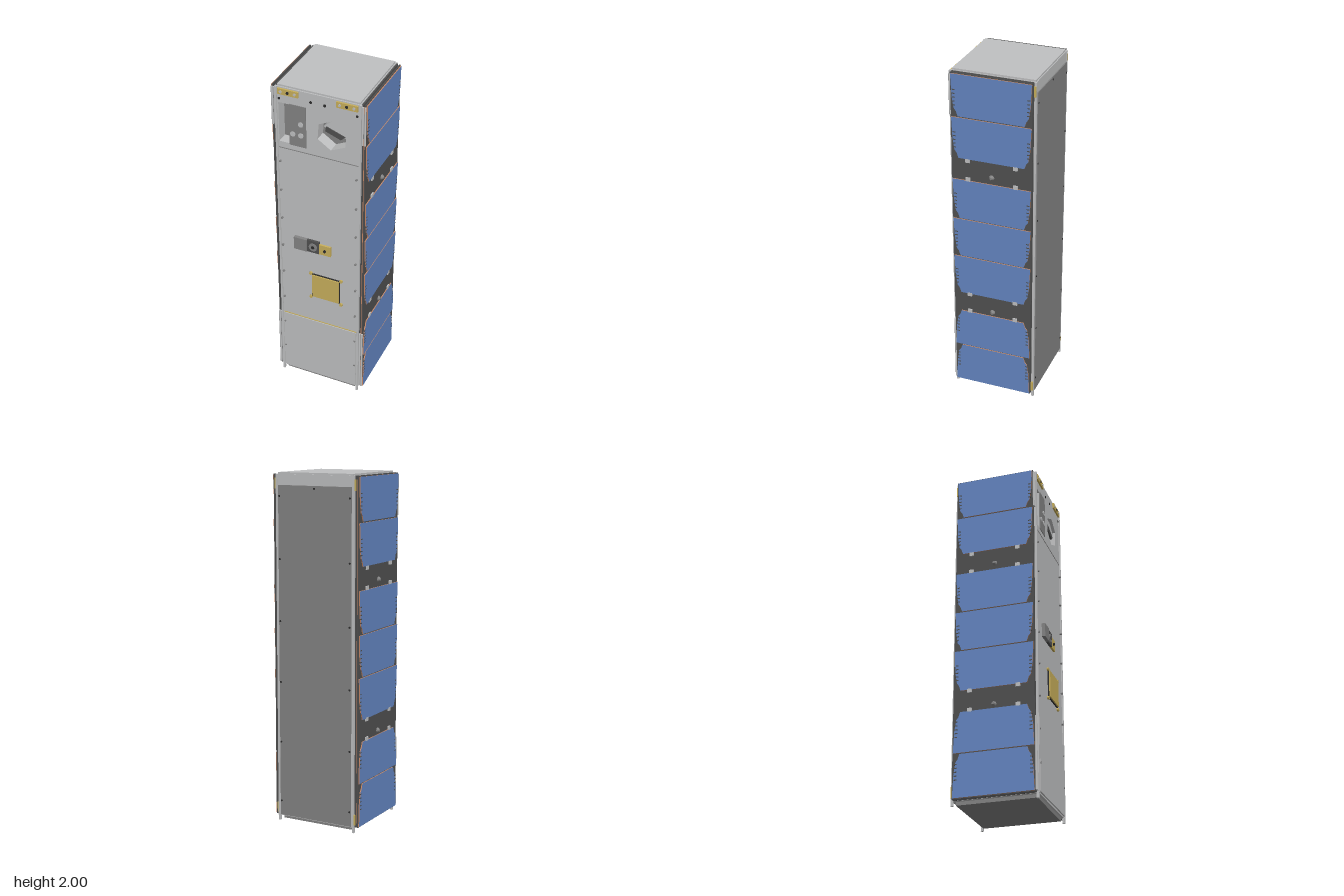
import * as THREE from 'three';

const mat = (name, color) => Object.assign(new THREE.MeshStandardMaterial({ color }), { name });
const light = mat('light aluminium', 0xc0c1c2);
const grey = mat('mid grey', 0x848484);
const dark = mat('dark board', 0x505050);
const black = mat('black', 0x2c2c2c);
const blue = mat('solar blue', 0x6486c2);
const gold = mat('gold', 0xc9b05c);
const copper = mat('copper', 0xc98a68);

function add(parent, name, geometry, material, x = 0, y = 0, z = 0) {
  const mesh = new THREE.Mesh(geometry, material);
  mesh.name = name;
  mesh.position.set(x, y, z);
  parent.add(mesh);
  return mesh;
}

// box given by its limits
function box(parent, name, material, x0, x1, y0, y1, z0, z1) {
  return add(parent, name, new THREE.BoxGeometry(x1 - x0, y1 - y0, z1 - z0), material,
    (x0 + x1) / 2, (y0 + y1) / 2, (z0 + z1) / 2);
}

// round disc facing front or back
function disc(parent, name, material, r, x, y, z0, z1, sides = 16) {
  const g = new THREE.CylinderGeometry(r, r, z1 - z0, sides).rotateX(Math.PI / 2);
  return add(parent, name, g, material, x, y, (z0 + z1) / 2);
}

const polygon = pts => new THREE.Shape(pts.map(p => new THREE.Vector2(...p)));
const rect = (x0, x1, y0, y1) => [[x0, y0], [x1, y0], [x1, y1], [x0, y1]];
const extrude = (shape, depth) => new THREE.ExtrudeGeometry(shape, { depth, bevelEnabled: false });

// solar cell with two cropped corners, lying in the yz plane
function cellGeometry(y0, y1, cropTop) {
  const a = cropTop ? y1 : y0, b = cropTop ? y0 : y1, s = cropTop ? -1 : 1;
  const half = [[0.228, b], [0.222, a + s * 0.11], [0.212, a + s * 0.045], [0.2, a + s * 0.03], [0.19, a]];
  const pts = [...half, ...half.map(([u, y]) => [-u, y]).reverse()];
  return extrude(polygon(pts), 0.006).rotateY(Math.PI / 2);
}

function solarWing() {
  const wing = new THREE.Group();
  box(wing, 'innerBoard', dark, 0.243, 0.252, 0.03, 1.99, -0.232, 0.232);
  box(wing, 'innerCellLayer', copper, 0.252, 0.257, 0.05, 1.97, -0.222, 0.222);
  box(wing, 'outerBoard', dark, 0.26, 0.268, 0.03, 1.99, -0.232, 0.232);
  const cells = [[1.745, 1.985], [1.5, 1.738], [1.13, 1.37], [0.89, 1.124], [0.645, 0.884],
    [0.285, 0.52, true], [0.035, 0.279, true]];
  for (const [y0, y1, cropTop] of cells) {
    add(wing, 'solarCell', cellGeometry(y0, y1, cropTop), [blue, copper], 0.268);
    // small contact teeth along both edges
    for (const s of [-1, 1]) for (let i = 0; i < 5; i++) {
      const y = cropTop ? y1 - 0.06 - i * 0.022 : y0 + 0.06 + i * 0.022;
      box(wing, 'cellContact', dark, 0.268, 0.2745, y, y + 0.006, s * 0.212 - 0.008, s * 0.212 + 0.008);
    }
  }
  // pale tabs and hold-down knobs in the two gaps
  for (const y of [1.49, 1.378, 0.64, 0.527]) for (const z of [-0.138, 0.138])
    box(wing, 'cellTab', light, 0.268, 0.275, y - 0.011, y + 0.011, z - 0.013, z + 0.013);
  for (const y of [1.41, 0.545])
    add(wing, 'holdDownKnob', new THREE.CylinderGeometry(0.007, 0.016, 0.014, 12).rotateZ(-Math.PI / 2), grey, 0.275, y, 0);
  return wing;
}

function buildBody(g) {
  box(g, 'bodyShell', light, -0.24, 0.24, 0.03, 1.99, -0.25, 0.16);
  // front wall with two sensor openings
  const wall = polygon(rect(-0.24, 0.24, 0.03, 1.99));
  const hex = [];
  for (let i = 0; i < 6; i++) {
    const a = i * Math.PI / 3 + 0.45;
    hex.push([0.08 + 0.092 * Math.cos(a), 1.765 + 0.092 * Math.sin(a)]);
  }
  const slot = rect(-0.228, -0.165, 1.655, 1.895);
  for (const pts of [hex, slot]) wall.holes.push(new THREE.Path(pts.map(p => new THREE.Vector2(...p))));
  add(g, 'frontWall', extrude(wall, 0.072), light, 0, 0, 0.16);
  add(g, 'hexSensorFloor', extrude(polygon(hex), 0.004), grey, 0, 0, 0.16);
  add(g, 'slotFloor', extrude(polygon(slot), 0.004), grey, 0, 0, 0.16);
  // tilted sensor head in the hexagonal opening
  add(g, 'sensorHead', extrude(polygon([[0.025, 1.8], [0.15, 1.755], [0.168, 1.79], [0.145, 1.842], [0.075, 1.845]]), 0.05), light, 0, 0, 0.164);
  add(g, 'sensorAperture', extrude(polygon([[0.035, 1.775], [0.125, 1.742], [0.15, 1.765], [0.04, 1.805]]), 0.055), dark, 0, 0, 0.164);

  box(g, 'topCap', light, -0.235, 0.235, 1.99, 2, -0.245, 0.225);
  box(g, 'baseSlab', grey, -0.222, 0.222, 0.01, 0.03, -0.232, 0.22);
  // corner rails and their feet
  for (const s of [-1, 1]) for (const z of [-0.246, 0.23]) {
    const x = s * 0.241;
    box(g, 'cornerRail', light, x - 0.006, x + 0.006, 0.03, 1.99, z - 0.007, z + 0.009);
    box(g, 'railFoot', light, x - 0.008, x + 0.004, 0, 0.03, z - 0.007, z + 0.007);
  }
  // back panel with screws
  box(g, 'backPanel', grey, -0.23, 0.23, 0.035, 1.93, -0.256, -0.25);
  for (const s of [-1, 1]) {
    for (let i = 0; i < 6; i++) disc(g, 'backScrew', black, 0.006, s * 0.222, 0.12 + i * 0.35, -0.258, -0.25, 8);
    for (const y of [0.075, 1.94]) box(g, 'goldHingeBlock', gold, s * 0.25 - 0.004, s * 0.25 + 0.004, y - 0.03, y + 0.03, -0.252, -0.24);
  }
  disc(g, 'backScrew', black, 0.006, 0, 1.915, -0.258, -0.25, 8);
}

function buildFront(g) {
  // lower cover and seams
  box(g, 'lowerCover', light, -0.232, 0.232, 0.04, 0.455, 0.23, 0.24);
  box(g, 'lowerSeam', gold, -0.232, 0.232, 0.455, 0.46, 0.23, 0.235);
  box(g, 'upperSeam', grey, -0.232, 0.232, 1.615, 1.619, 0.23, 0.234);
  for (const s of [-1, 1]) {
    for (let i = 0; i < 8; i++) disc(g, 'frontScrew', grey, 0.006, s * 0.224, 0.2 + i * 0.19, 0.23, 0.243, 8);
    // gold top bracket
    const x = s * 0.168;
    box(g, 'topBracket', gold, x - 0.06, x + 0.06, 1.95, 1.984, 0.23, 0.242);
    for (const d of [-0.04, 0, 0.04]) disc(g, 'bracketScrew', d ? light : black, 0.008, x + d, 1.967, 0.23, 0.246, 10);
    disc(g, 'topHole', black, 0.008, s * 0.04, 1.938, 0.23, 0.235, 10);
    disc(g, 'cornerHole', black, 0.007, s * 0.222, 1.92, 0.23, 0.235, 10);
  }
  // connector panel with three ports
  box(g, 'connectorPanel', grey, -0.165, -0.068, 1.65, 1.9, 0.23, 0.236);
  for (const [x, y] of [[-0.098, 1.79], [-0.145, 1.722], [-0.098, 1.722]])
    disc(g, 'connectorPort', light, 0.015, x, y, 0.23, 0.24);

  // small central instruments
  box(g, 'greyInstrument', grey, -0.148, -0.07, 0.968, 1.048, 0.23, 0.252);
  box(g, 'darkInstrument', dark, -0.07, 0.004, 0.968, 1.048, 0.23, 0.246);
  disc(g, 'lensRing', grey, 0.025, -0.032, 1.007, 0.23, 0.25, 20);
  disc(g, 'lens', black, 0.01, -0.032, 1.007, 0.23, 0.252, 12);
  box(g, 'goldInstrument', gold, 0.004, 0.074, 0.968, 1.033, 0.23, 0.244);
  disc(g, 'goldInstrumentPin', black, 0.008, 0.04, 1.0, 0.23, 0.252, 10);

  // patch antenna with rim and corner screws
  box(g, 'antennaRim', black, -0.045, 0.128, 0.643, 0.807, 0.23, 0.239);
  box(g, 'antennaPatch', gold, -0.041, 0.124, 0.647, 0.803, 0.23, 0.246);
  for (const x of [-0.052, 0.136]) for (const y of [0.636, 0.808])
    disc(g, 'antennaScrew', gold, 0.01, x, y, 0.23, 0.242, 10);
}

export function createModel() {
  const model = new THREE.Group();
  model.name = 'boxSatellite';
  const body = new THREE.Group();
  body.name = 'body';
  buildBody(body);
  const front = new THREE.Group();
  front.name = 'frontDetails';
  buildFront(front);
  model.add(body, front);

  for (const s of [1, -1]) {
    const wing = solarWing();
    wing.name = s > 0 ? 'leftSolarWing' : 'rightSolarWing';
    wing.position.z = -0.008;
    if (s < 0) wing.rotation.y = Math.PI;
    model.add(wing);
    // hinge tubes along the front edge
    for (const x of [0.251, 0.265]) for (const [y0, y1] of [[0.04, 0.45], [1.75, 1.98]])
      add(model, 'hingeTube', new THREE.CylinderGeometry(0.006, 0.006, y1 - y0, 10), light, s * x, (y0 + y1) / 2, 0.228);
  }
  return model;
}
